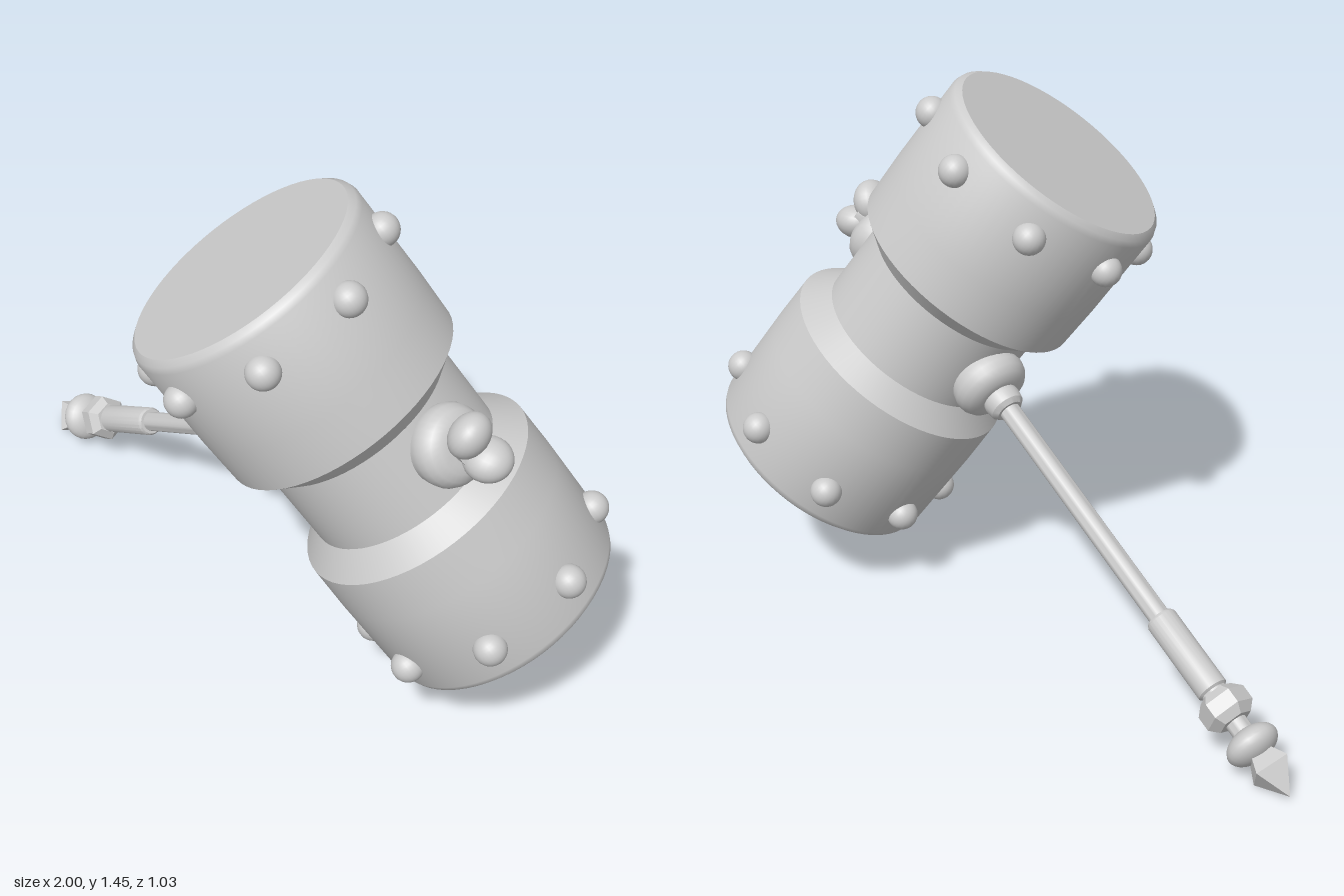
import * as THREE from 'three';
import { toCreasedNormals } from 'three/addons/utils/BufferGeometryUtils.js';

const smooth = new THREE.MeshStandardMaterial({ color: 0xcccccc });
const faceted = new THREE.MeshStandardMaterial({ color: 0xcccccc, flatShading: true });

// Turned part: points are [radius, height], listed from bottom to top
function turned(name, points, segments = 48) {
  const profile = points.map(([r, h]) => new THREE.Vector2(r, h));
  const lathe = new THREE.LatheGeometry(profile, segments);
  const mesh = segments > 8
    ? new THREE.Mesh(toCreasedNormals(lathe, 0.6), smooth)
    : new THREE.Mesh(lathe, faceted);
  mesh.name = name;
  return mesh;
}

function ball(name, rx, ry, rz) {
  const mesh = new THREE.Mesh(new THREE.SphereGeometry(1, 24, 16), smooth);
  mesh.scale.set(rx, ry, rz);
  mesh.name = name;
  return mesh;
}

// Round collar seated on the waist of the head
const collar = () => turned('collar', [
  [0.09, 0.22], [0.1, 0.26], [0.104, 0.28], [0.1, 0.3], [0.088, 0.318],
  [0.068, 0.33], [0.05, 0.333], [0, 0.333],
], 32);

// Head: two drums joined by a narrower waist, with rows of studs
function makeHead() {
  const head = new THREE.Group();
  head.name = 'head';
  const half = [
    [0.265, 0], [0.265, 0.112], [0.33, 0.17], [0.333, 0.3], [0.331, 0.56],
    [0.325, 0.576], [0.31, 0.588], [0, 0.588],
  ];
  const lower = half.slice(1).reverse().map(([r, h]) => [r, -h]);
  head.add(turned('drums', [...lower, ...half.slice(1)], 64));
  for (const y of [-0.478, 0.478]) {
    for (let i = 0; i < 8; i++) {
      const a = (i * Math.PI) / 4;
      const stud = ball('stud', 0.043, 0.043, 0.043);
      stud.position.set(Math.cos(a) * 0.332, y, Math.sin(a) * 0.332);
      head.add(stud);
    }
  }
  return head;
}

// Handle, built upward from the head centre and then laid along -x
function makeHandle() {
  const handle = new THREE.Group();
  handle.name = 'handle';
  handle.add(collar());
  handle.add(turned('socket', [
    [0.048, 0.32], [0.052, 0.345], [0.048, 0.37], [0.036, 0.382], [0, 0.382],
  ], 24));
  handle.add(turned('shaft', [[0.028, 0.3], [0.028, 1.5], [0, 1.5]], 24));
  handle.add(turned('grip', [
    [0, 1.09], [0.036, 1.09], [0.041, 1.098], [0.041, 1.32], [0.034, 1.325],
    [0.034, 1.35], [0, 1.35],
  ], 24));
  handle.add(turned('nut', [
    [0, 1.332], [0.046, 1.332], [0.068, 1.355], [0.068, 1.395], [0.046, 1.418], [0, 1.418],
  ], 6));
  const ring = ball('bead', 0.071, 0.042, 0.071);
  ring.position.y = 1.487;
  handle.add(ring);
  handle.add(turned('tip', [[0.03, 1.505], [0.064, 1.562], [0, 1.643]], 4));
  handle.rotation.z = Math.PI / 2;
  return handle;
}

// Two-lobed knob opposite the handle, laid along +x
function makeKnob() {
  const knob = new THREE.Group();
  knob.name = 'knob';
  knob.add(collar());
  knob.add(turned('stem', [[0.045, 0.32], [0.036, 0.335], [0.05, 0.37], [0, 0.38]], 24));
  for (const side of [-1, 1]) {
    const lobe = ball('lobe', 0.048, 0.062, 0.06);
    lobe.position.set(side * 0.04, 0.386, 0);
    lobe.rotation.z = -side * 0.6;
    knob.add(lobe);
  }
  knob.rotation.z = -Math.PI / 2;
  return knob;
}

export function createModel() {
  const hammer = new THREE.Group();
  hammer.name = 'hammer';
  hammer.add(makeHead(), makeHandle(), makeKnob());

  // Lean the whole hammer: local x runs from handle to knob, local y along the head
  const x = new THREE.Vector3(0.873, 0.475, 0.11).normalize();
  const z = x.clone().cross(new THREE.Vector3(-0.478, 0.811, 0.338)).normalize();
  const y = z.clone().cross(x);
  hammer.quaternion.setFromRotationMatrix(new THREE.Matrix4().makeBasis(x, y, z));
  hammer.position.set(0.432, 0.803, 0);

  const model = new THREE.Group();
  model.name = 'model';
  model.add(hammer);
  return model;
}
